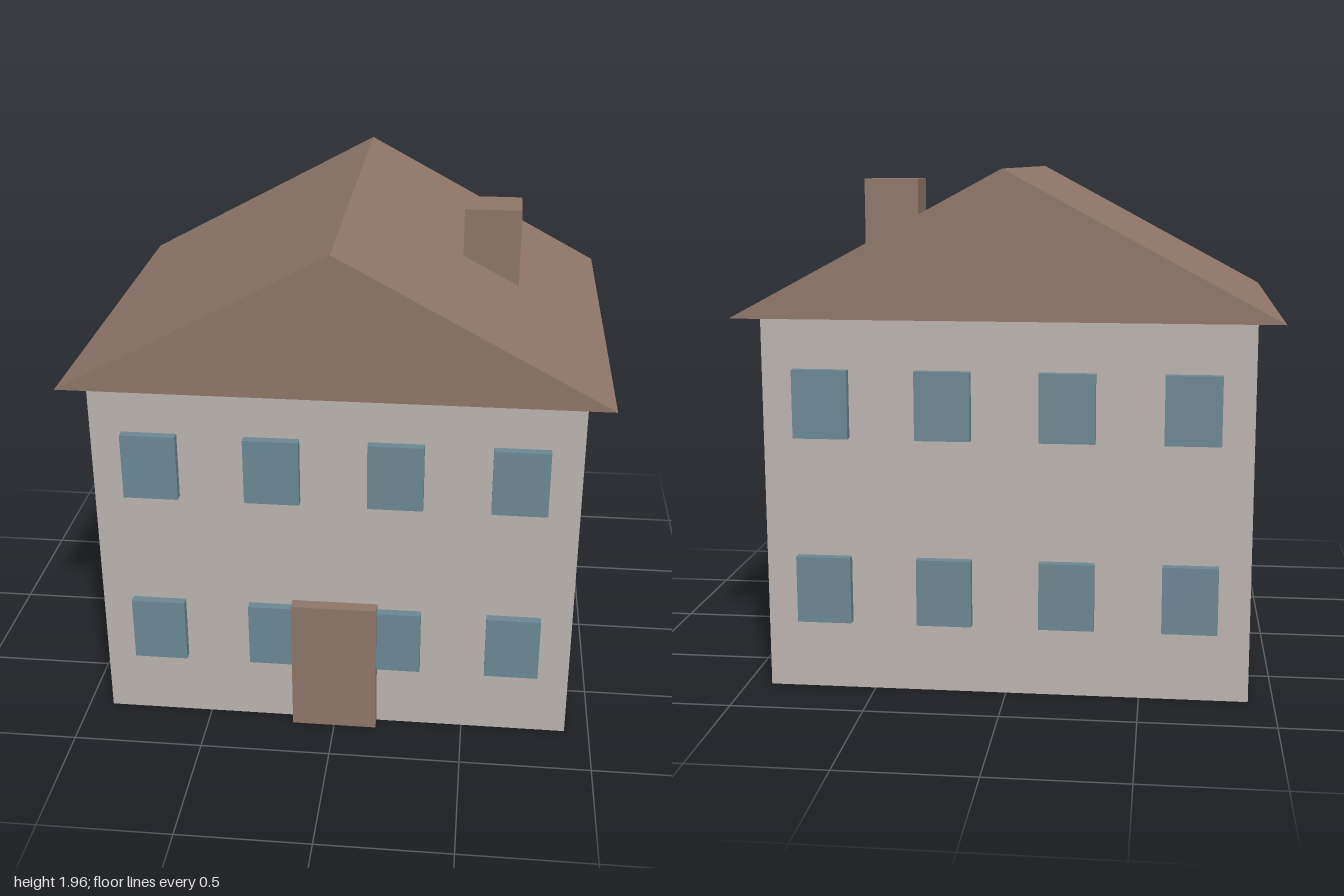
import * as THREE from 'three';

export function createModel() {
  const house = new THREE.Group();
  house.name = 'house';

  const material = (name, color) => {
    const m = new THREE.MeshStandardMaterial({ color });
    m.name = name;
    return m;
  };
  const wallPaint = material('warm grey wall', 0xbcb4b0);
  const brown = material('brown', 0x8f766a);
  const glass = material('blue grey glass', 0x6c8893);

  // Box given by its lower and upper limits on each axis
  const addBox = (name, mat, [x0, x1], [y0, y1], [z0, z1], parent = house) => {
    const mesh = new THREE.Mesh(new THREE.BoxGeometry(x1 - x0, y1 - y0, z1 - z0), mat);
    mesh.position.set((x0 + x1) / 2, (y0 + y1) / 2, (z0 + z1) / 2);
    mesh.name = name;
    parent.add(mesh);
  };

  const wallZ = 0.77, roofZ = 0.847, eaves = 1.42;

  addBox('walls', wallPaint, [-0.906, 0.906], [0, eaves], [-wallZ, wallZ]);

  // Solid gabled roof: a triangle extruded from back to front
  const gable = new THREE.Shape([
    new THREE.Vector2(-1, eaves),
    new THREE.Vector2(1, eaves),
    new THREE.Vector2(0, 1.957),
  ]);
  const roofShape = new THREE.ExtrudeGeometry(gable, { depth: roofZ * 2, bevelEnabled: false });
  roofShape.translate(0, 0, -roofZ);
  const roof = new THREE.Mesh(roofShape, brown);
  roof.name = 'roof';
  house.add(roof);

  addBox('chimney', brown, [0.435, 0.655], [1.55, 1.91], [-0.093, 0.093]);
  addBox('door', brown, [-0.164, 0.164], [0, 0.54], [wallZ - 0.02, 0.821]);

  // Two rows of four windows on the front and on the back
  const windows = new THREE.Group();
  windows.name = 'windows';
  house.add(windows);
  for (const [side, z] of [['front', [wallZ - 0.02, 0.805]], ['back', [-0.805, 0.02 - wallZ]]]) {
    for (const [floor, y] of [['Lower', [0.265, 0.519]], ['Upper', [0.972, 1.228]]]) {
      for (const x of [-0.684, -0.229, 0.229, 0.684]) {
        addBox(side + floor + 'Window', glass, [x - 0.103, x + 0.103], y, z, windows);
      }
    }
  }

  return house;
}
